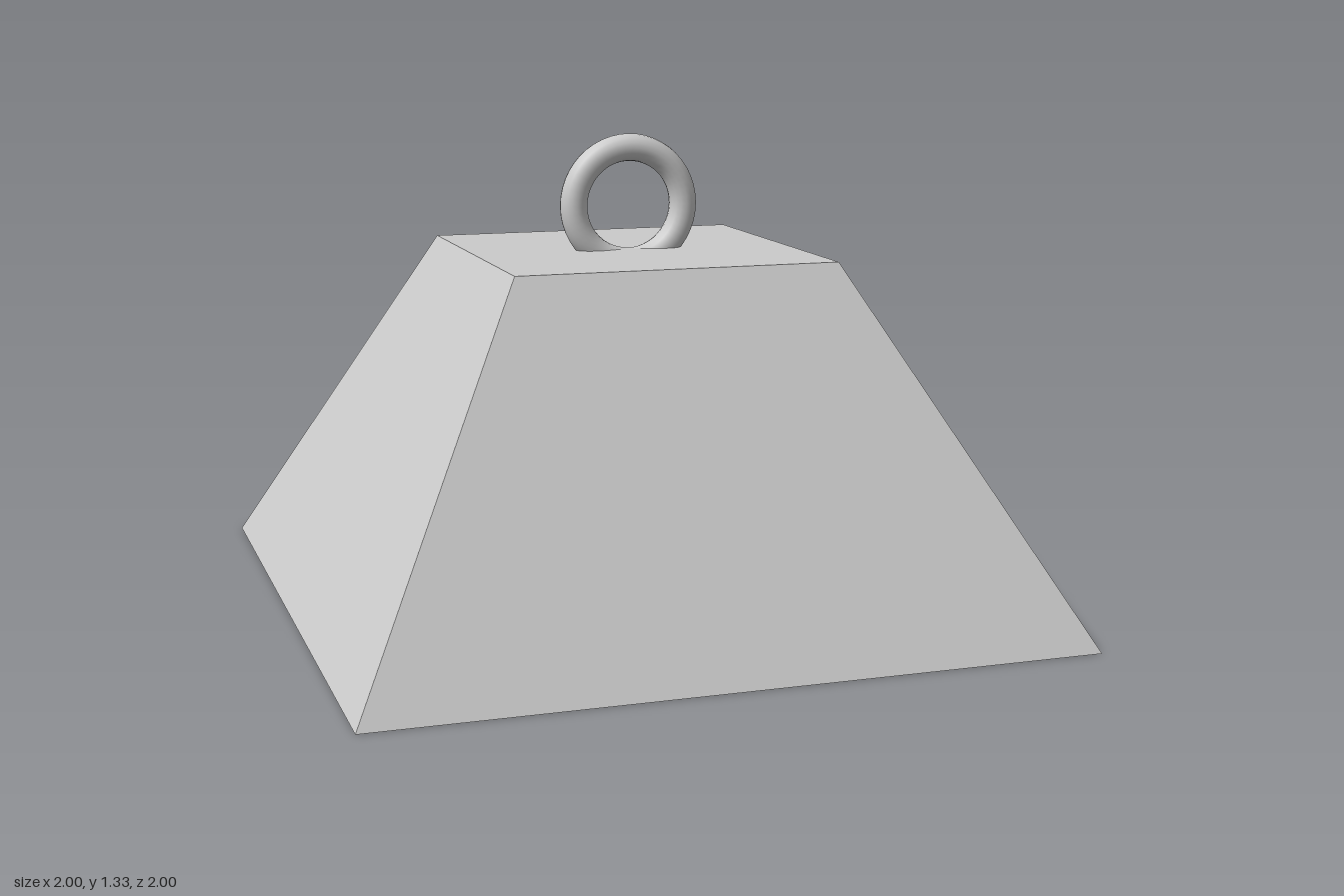
import * as THREE from 'three';

export function createModel() {
  const model = new THREE.Group();
  const ringMaterial = new THREE.MeshStandardMaterial({ color: 0xcccccc });
  const bodyMaterial = new THREE.MeshStandardMaterial({ color: 0xcccccc, flatShading: true });

  // Weight body: a square frustum, made from a four-sided cylinder
  const topHalf = 0.457, bottomHalf = 1, height = 1;
  const bodyGeometry = new THREE.CylinderGeometry(
    topHalf * Math.SQRT2, bottomHalf * Math.SQRT2, height, 4, 1);
  bodyGeometry.rotateY(Math.PI / 4);
  bodyGeometry.translate(0, height / 2, 0);
  const body = new THREE.Mesh(bodyGeometry, bodyMaterial);
  body.name = 'weightBody';
  model.add(body);

  // Lifting ring, its lowest part sunk into the top face
  const ring = new THREE.Mesh(new THREE.TorusGeometry(0.163, 0.039, 16, 48), ringMaterial);
  ring.name = 'liftingRing';
  ring.position.y = 1.126;
  model.add(ring);

  return model;
}
